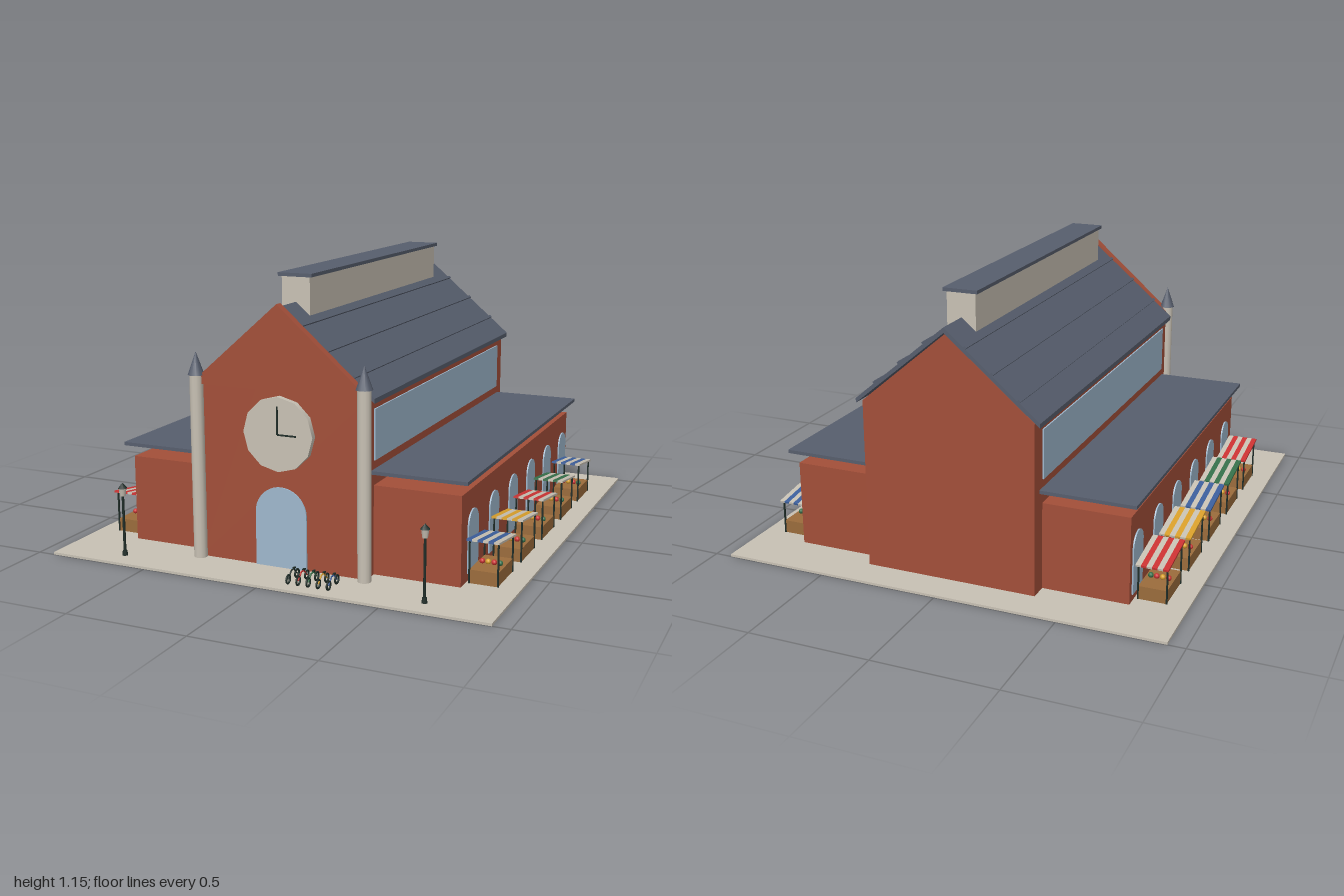
import * as THREE from 'three';

const mat = (name, color, side = THREE.FrontSide) => {
  const m = new THREE.MeshStandardMaterial({ color, side });
  m.name = name;
  return m;
};

export function createModel() {
  const brick = mat('brick', 0xa34f39), stone = mat('stone', 0xc8c1b4);
  const slate = mat('slate', 0x575e6d), glass = mat('glass', 0x9fb8cd);
  const iron = mat('iron', 0x1f2d28), wood = mat('wood', 0x9b6c3c);
  const red = mat('red', 0xcc3333), yellow = mat('yellow', 0xd9a02b);
  const blue = mat('blue', 0x3c5f9c), green = mat('green', 0x35704a);

  const root = new THREE.Group();
  root.name = 'marketHall';

  const add = (parent, name, geo, material, x = 0, y = 0, z = 0) => {
    const m = new THREE.Mesh(geo, material);
    m.name = name;
    m.position.set(x, y, z);
    parent.add(m);
    return m;
  };
  // box given by its min and max on each axis
  const box = (parent, name, material, x0, x1, y0, y1, z0, z1) =>
    add(parent, name, new THREE.BoxGeometry(x1 - x0, y1 - y0, z1 - z0), material,
      (x0 + x1) / 2, (y0 + y1) / 2, (z0 + z1) / 2);
  // outline in x,y extruded from z0 to z1
  const prism = (parent, name, material, pts, z0, z1) => {
    const shape = new THREE.Shape(pts.map(p => new THREE.Vector2(...p)));
    return add(parent, name, new THREE.ExtrudeGeometry(shape, { depth: z1 - z0, bevelEnabled: false }),
      material, 0, 0, z0);
  };
  // thin round-headed plate standing on y = 0, facing +z
  const archGeo = (halfWidth, height) => {
    const s = new THREE.Shape();
    s.moveTo(-halfWidth, 0);
    s.lineTo(halfWidth, 0);
    s.lineTo(halfWidth, height - halfWidth);
    s.absarc(0, height - halfWidth, halfWidth, 0, Math.PI, false);
    return new THREE.ExtrudeGeometry(s, { depth: 0.007, bevelEnabled: false, curveSegments: 16 });
  };
  // round bar between two points
  const bar = (parent, name, material, a, b, r) => {
    const p = new THREE.Vector3(...a), q = new THREE.Vector3(...b), d = q.clone().sub(p);
    const m = add(parent, name, new THREE.CylinderGeometry(r, r, d.length(), 6), material);
    m.position.copy(p).add(q).multiplyScalar(0.5);
    m.quaternion.setFromUnitVectors(new THREE.Vector3(0, 1, 0), d.normalize());
    return m;
  };

  box(root, 'plaza', stone, -0.93, 0.93, 0, 0.01, -1, 1);

  // main hall and front gable
  prism(root, 'hallWalls', brick,
    [[-0.36, 0.01], [0.36, 0.01], [0.36, 0.708], [0, 1.012], [-0.36, 0.708]], -0.86, 0.785);
  prism(root, 'frontGable', brick,
    [[-0.36, 0.72], [0.36, 0.72], [0.36, 0.737], [0, 1.052], [-0.36, 0.737]], 0.77, 0.805);

  // pitched roof with seams along its length
  prism(root, 'hallRoof', slate,
    [[-0.385, 0.697], [0, 1.018], [0.385, 0.697], [0.385, 0.716], [0, 1.04], [-0.385, 0.716]], -0.868, 0.768);
  const pitch = Math.atan2(0.324, 0.385);
  for (const side of [-1, 1]) {
    for (const d of [0.085, 0.192, 0.3]) {
      const rib = box(root, 'roofSeam', slate, -0.006, 0.006, -0.006, 0.006, -0.868, 0.768);
      rib.position.set(side * d, 1.042 - d * 0.8416, -0.05);
      rib.rotation.z = -side * pitch;
    }
  }

  // ridge lantern
  box(root, 'ridgeLantern', stone, -0.06, 0.06, 0.98, 1.14, -0.715, 0.64);
  box(root, 'ridgeLanternCap', slate, -0.072, 0.072, 1.138, 1.152, -0.725, 0.65);

  // side aisles with windows
  const windowGeo = archGeo(0.058, 0.245);
  for (const side of [-1, 1]) {
    const lo = (a, b) => (side > 0 ? [a, b] : [-b, -a]);
    box(root, 'aisle', brick, ...lo(0.34, 0.715), 0.01, 0.367, -0.785, 0.715);
    box(root, 'aisleRoof', slate, ...lo(0.35, 0.745), 0.416, 0.43, -0.815, 0.742);
    box(root, 'clerestoryWindow', glass, ...lo(0.358, 0.366), 0.465, 0.665, -0.785, 0.715);
    for (let i = 0; i < 6; i++) {
      const w = add(root, 'aisleWindow', windowGeo, glass, side * 0.714, 0.04, 0.588 - i * 0.258);
      w.rotation.y = side * Math.PI / 2;
    }
    // corner columns with pointed caps
    add(root, 'cornerColumn', new THREE.CylinderGeometry(0.027, 0.027, 0.75, 12), stone, side * 0.358, 0.385, 0.8);
    add(root, 'columnSpire', new THREE.ConeGeometry(0.033, 0.092, 12), slate, side * 0.358, 0.8, 0.8);

    // street lamps
    const lamp = new THREE.Group();
    lamp.name = 'streetLamp';
    lamp.position.set(side * 0.645, 0.01, 0.912);
    root.add(lamp);
    add(lamp, 'lampBase', new THREE.CylinderGeometry(0.009, 0.012, 0.02, 8), iron, 0, 0.01, 0);
    add(lamp, 'lampPost', new THREE.CylinderGeometry(0.005, 0.006, 0.25, 8), iron, 0, 0.125, 0);
    add(lamp, 'lampGlass', new THREE.CylinderGeometry(0.016, 0.011, 0.033, 8), stone, 0, 0.264, 0);
    add(lamp, 'lampCap', new THREE.ConeGeometry(0.019, 0.022, 8), iron, 0, 0.291, 0);
  }

  // door and clock
  add(root, 'door', archGeo(0.11, 0.325), glass, 0, 0.01, 0.784);
  const clock = add(root, 'clockFace', new THREE.CylinderGeometry(0.148, 0.148, 0.025, 12), stone, 0, 0.55, 0.797);
  clock.rotation.x = Math.PI / 2;
  box(root, 'minuteHand', iron, -0.003, 0.003, 0.55, 0.66, 0.809, 0.814);
  box(root, 'hourHand', iron, 0, 0.08, 0.547, 0.553, 0.809, 0.814);

  // market stalls with striped, tilted canopies
  const ballGeo = new THREE.SphereGeometry(0.011, 10, 8);
  const makeStall = (x, z, color) => {
    const stall = new THREE.Group();
    stall.name = 'marketStall';
    stall.position.set(x, 0, z);
    root.add(stall);
    box(stall, 'counter', wood, -0.057, 0.057, 0.01, 0.064, -0.092, 0.092);
    for (const px of [-0.057, 0.057]) {
      for (const pz of [-0.092, 0.092]) {
        box(stall, 'stallPost', iron, px - 0.003, px + 0.003, 0.01, 0.168 + pz * 0.13, pz - 0.003, pz + 0.003);
      }
    }
    const canopy = new THREE.Group();
    canopy.name = 'canopy';
    canopy.position.y = 0.171;
    canopy.rotation.x = -0.14;
    stall.add(canopy);
    const w = 0.13 / 6;
    for (let i = 0; i < 6; i++) {
      box(canopy, 'canopyStripe', i % 2 ? stone : color, -0.065 + i * w, -0.065 + (i + 1) * w,
        -0.004, 0.004, -0.11, 0.11);
    }
    [red, yellow, red, green].forEach((c, i) =>
      add(stall, 'produce', ballGeo, c, -0.036 + i * 0.024, 0.072, 0));
  };
  const rightColors = [blue, green, red, yellow, blue];
  const leftColors = [red, yellow, blue, green, red];
  for (let i = 0; i < 5; i++) {
    const z = -0.635 + i * 0.3;
    makeStall(0.785, z, rightColors[i]);
    makeStall(-0.787, z, leftColors[i]);
  }

  // parked bicycles
  const wheelGeo = new THREE.TorusGeometry(0.016, 0.004, 6, 16);
  [iron, red, green, yellow, blue].forEach((color, i) => {
    const bike = new THREE.Group();
    bike.name = 'bicycle';
    bike.position.set(0.107 + i * 0.042, 0.01, 0.906);
    root.add(bike);
    for (const dz of [-0.037, 0.037]) {
      add(bike, 'wheel', wheelGeo, iron, 0, 0.02, dz).rotation.y = Math.PI / 2;
      bar(bike, 'frameTube', color, [0, 0.02, dz], [0, 0.046, dz * 0.3], 0.003);
    }
    bar(bike, 'topTube', color, [0, 0.046, -0.012], [0, 0.046, 0.014], 0.003);
    box(bike, 'saddle', iron, -0.004, 0.004, 0.046, 0.052, -0.02, -0.006);
  });

  return root;
}
